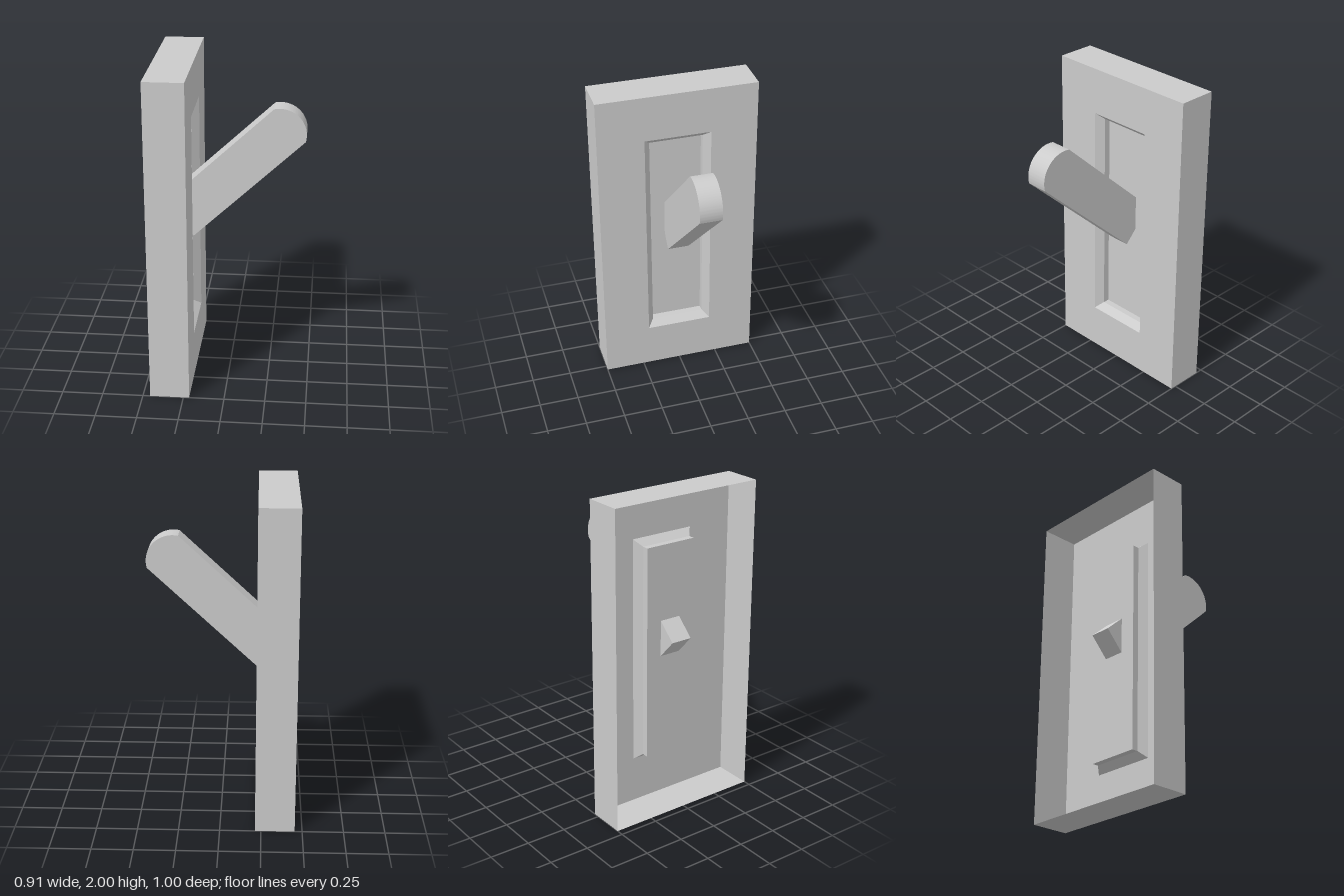
import * as THREE from 'three';
import { toCreasedNormals } from 'three/addons/utils/BufferGeometryUtils.js';

const material = new THREE.MeshStandardMaterial({ color: 0xcccccc, side: THREE.DoubleSide });

// Four corners of an upright rectangle at depth x, centred on y = 1
function corners({ x, halfZ, halfY }) {
  return [[1, -1], [-1, -1], [-1, 1], [1, 1]].map(([z, y]) => [x, 1 + y * halfY, z * halfZ]);
}

// Flat-shaded band of four faces joining two rectangles
function band(from, to) {
  const a = corners(from), b = corners(to), positions = [];
  for (let i = 0; i < 4; i++) {
    const j = (i + 1) % 4;
    for (const p of [a[i], a[j], b[j], a[i], b[j], b[i]]) positions.push(...p);
  }
  const geometry = new THREE.BufferGeometry();
  geometry.setAttribute('position', new THREE.Float32BufferAttribute(positions, 3));
  geometry.computeVertexNormals();
  return geometry;
}

export function createModel() {
  const group = new THREE.Group();
  const add = (name, geometry) => {
    const mesh = new THREE.Mesh(geometry, material);
    mesh.name = name;
    group.add(mesh);
    return mesh;
  };

  // Hollow cover plate, open at the back, with a bevelled recess
  const rim = { x: -0.455, halfZ: 0.5, halfY: 1 };
  const face = { x: -0.214, halfZ: 0.5, halfY: 1 };
  const opening = { x: -0.214, halfZ: 0.208, halfY: 0.71 };
  const bevel = { x: -0.26, halfZ: 0.168, halfY: 0.67 };
  const floor = { x: -0.3, halfZ: 0.168, halfY: 0.67 };
  add('plateSides', band(rim, face));
  add('plateFront', band(face, opening));
  add('recessBevel', band(opening, bevel));
  add('recessWalls', band(bevel, floor));
  const panel = add('recessFloor', new THREE.PlaneGeometry(floor.halfZ * 2, floor.halfY * 2));
  panel.rotation.y = Math.PI / 2;
  panel.position.set(floor.x, 1, 0);

  // Slanted toggle lever with a rounded tip, its square end passing through the recess floor
  const profile = new THREE.Shape();
  profile.moveTo(-0.413, 1.097);
  profile.lineTo(-0.225, 0.895);
  profile.lineTo(0.45, 1.525);
  profile.absarc(0.295, 1.567, 0.161, -0.265, 1.789, false);
  profile.closePath();
  const lever = new THREE.ExtrudeGeometry(profile, { depth: 0.136, bevelEnabled: false, curveSegments: 24 });
  lever.translate(0, 0, -0.068);
  add('lever', toCreasedNormals(lever, 0.4));

  return group;
}
